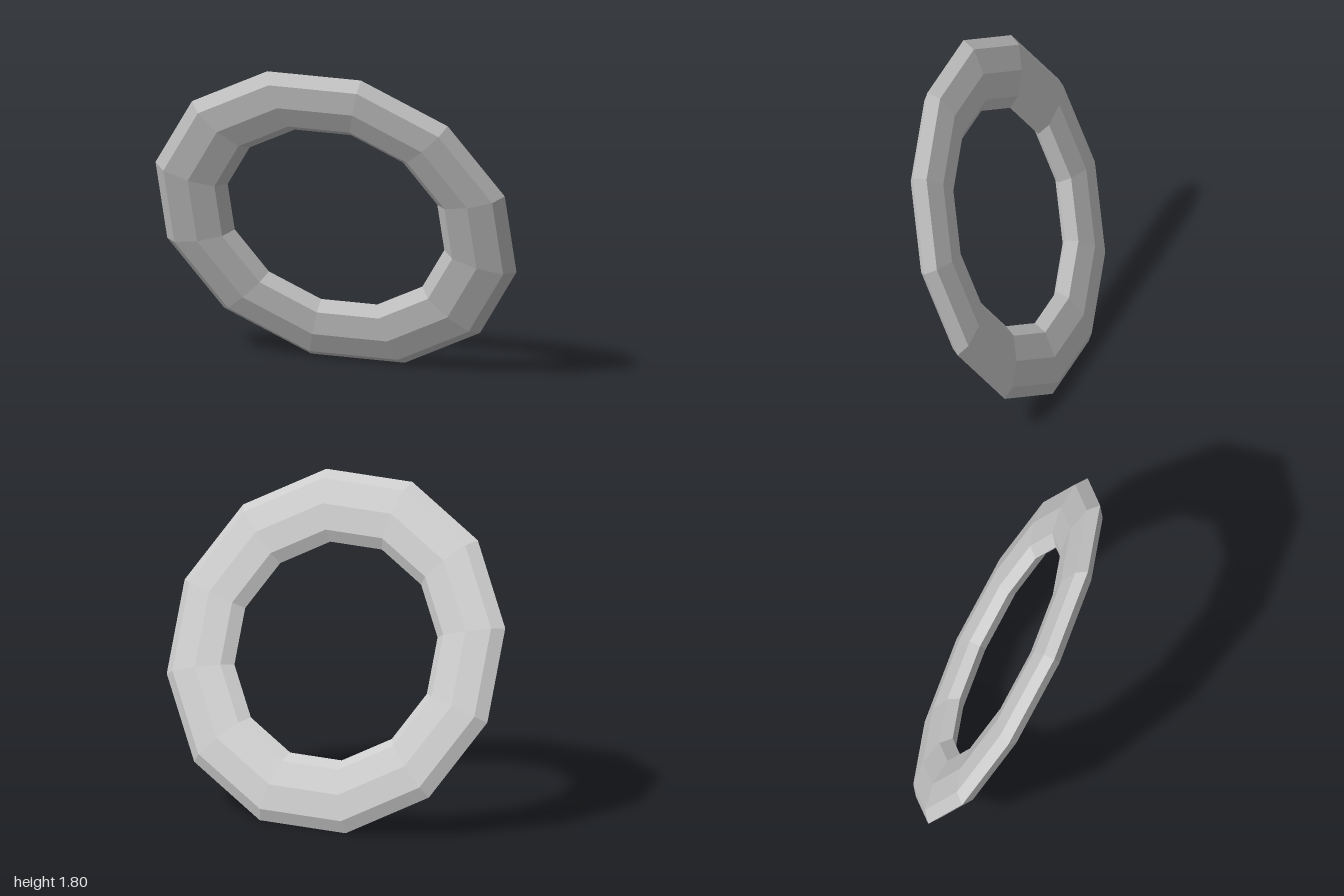
import * as THREE from 'three';

export function createModel() {
  const group = new THREE.Group();
  const material = new THREE.MeshStandardMaterial({ color: 0xcccccc, flatShading: true });

  // Twelve-segment ring with an octagonal tube, turned so flat sides face up, down, left and right
  const outer = 1 / Math.cos(Math.PI / 12);
  const geometry = new THREE.TorusGeometry(0.8 * outer, 0.2 * outer, 8, 12);
  geometry.rotateZ(Math.PI / 12);

  // Thin the tube, flatten the ring slightly, and lean its top forward
  geometry.scale(1, 0.97, 0.338);
  geometry.rotateX(THREE.MathUtils.degToRad(22));

  // Stand it on the ground
  geometry.computeBoundingBox();
  geometry.translate(0, -geometry.boundingBox.min.y, 0);

  const ring = new THREE.Mesh(geometry, material);
  ring.name = 'ring';
  group.add(ring);
  return group;
}
